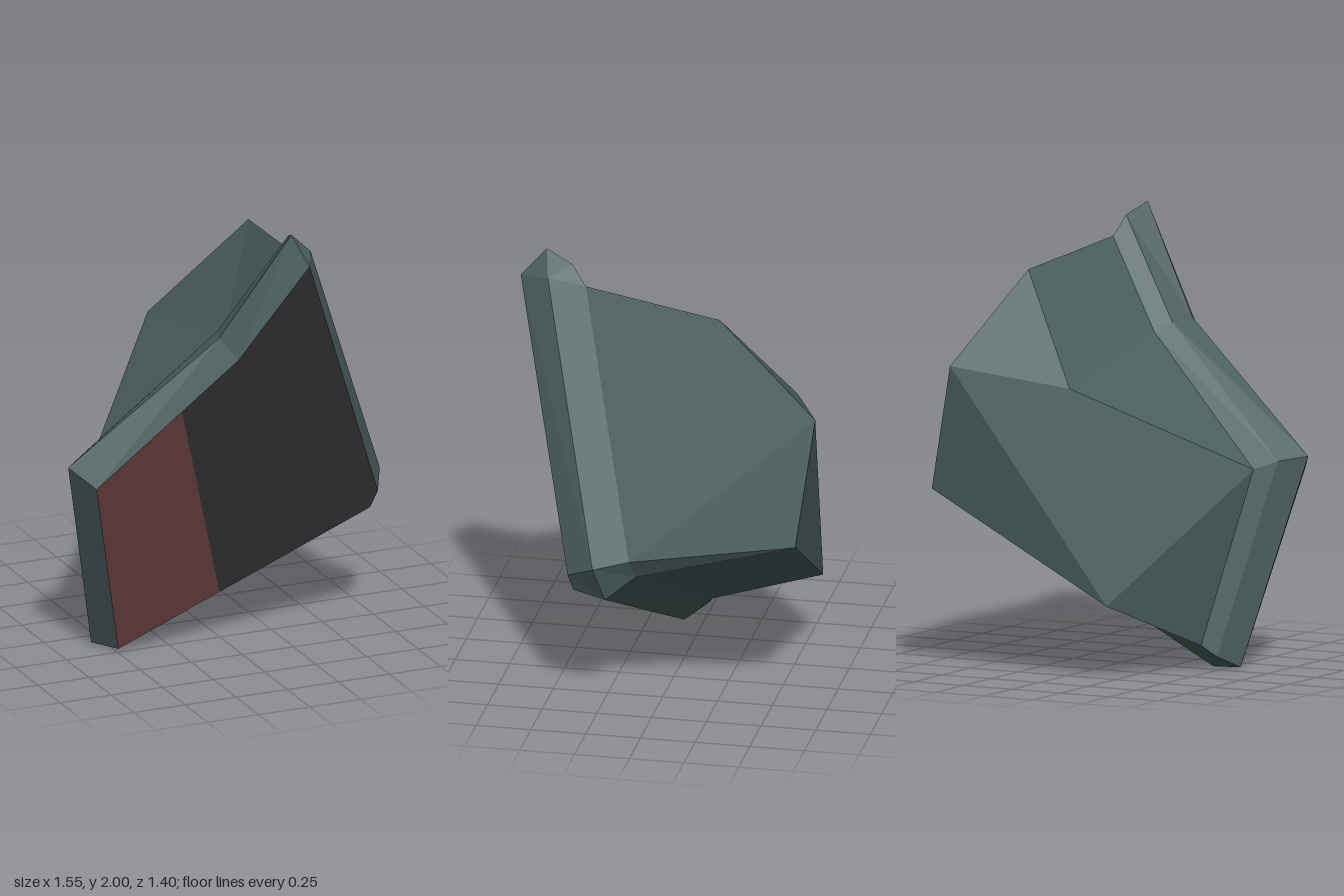
import * as THREE from 'three';

const bodyMat = new THREE.MeshStandardMaterial({ color: 0x4a5f5e });
bodyMat.name = 'slate green';
const darkMat = new THREE.MeshStandardMaterial({ color: 0x333233 });
darkMat.name = 'charcoal';
const redMat = new THREE.MeshStandardMaterial({ color: 0x653f3d });
redMat.name = 'dull red';

// The rim is a stack of outlines lying on parallel planes that lean forward
const TILT = 0.25;
const lean = (points, k) => points.map(([x, y]) => new THREE.Vector3(x, y, k + TILT * y));

// Non-indexed triangles give crisp flat facets
function facets(name, triangles, material) {
  const geometry = new THREE.BufferGeometry().setFromPoints(triangles.flat());
  geometry.computeVertexNormals();
  const mesh = new THREE.Mesh(geometry, material);
  mesh.name = name;
  return mesh;
}

// Band between two outlines, both counter-clockwise from the front;
// repeated points collapse a quad to a triangle
function band(front, back) {
  const out = [];
  const add = (a, b, c) => {
    if (!a.equals(b) && !b.equals(c) && !a.equals(c)) out.push([a, b, c]);
  };
  front.forEach((a, i) => {
    const j = (i + 1) % front.length;
    add(a, back[i], front[j]);
    add(front[j], back[i], back[j]);
  });
  return out;
}

// Flat panel on the leaning front plane
function panel(name, points, material) {
  const shape = new THREE.Shape(points.map(([x, y]) => new THREE.Vector2(x, y)));
  const geometry = new THREE.ShapeGeometry(shape).toNonIndexed();
  const p = geometry.attributes.position;
  for (let i = 0; i < p.count; i++) p.setZ(i, 0.232 + TILT * p.getY(i));
  geometry.computeVertexNormals();
  const mesh = new THREE.Mesh(geometry, material);
  mesh.name = name;
  return mesh;
}

export function createModel() {
  const group = new THREE.Group();
  group.name = 'facetedBlock';

  // Outlines from the front face to the root of the rim
  const top = [0.24, 1.88], shoulder = [-0.06, 1.44], left = [-0.69, 0.87];
  const foot = [-0.49, 0.01], lowRight = [0.68, 0.56], right = [0.71, 0.64];
  const face = lean([top, shoulder, left, foot, foot, lowRight, right, top], 0.232);
  const edge = lean([[0.2, 2], [-0.1, 1.51], [-0.775, 0.945], [-0.56, 0.005], [-0.42, 0],
    [0.7, 0.53], [0.775, 0.7], [0.305, 1.9]], 0.09);
  const step = [...lean([[0.24, 1.95], [-0.06, 1.5], [-0.685, 0.93], [-0.495, 0.06]], -0.022),
    ...edge.slice(4)];
  const [c1, c7, c6, c5, c4, c3] = lean([[0.27, 1.86], [0, 1.457], [-0.59, 0.893],
    [-0.43, 0.11], [0.645, 0.63], [0.7, 0.72]], -0.066);
  const root = [c1, c7, c6, c5, c5, c4, c3, c1];
  group.add(facets('rim', [...band(face, edge), ...band(edge, step), ...band(step, root)], bodyMat));

  // Rear hull: facets between the rim root and five back corners
  const V = (x, y, z) => new THREE.Vector3(x, y, z);
  const crown = V(0.35, 1.78, -0.23), backTop = V(0.49, 1.39, -0.695);
  const backRight = V(0.62, 0.82, -0.63), backLow = V(-0.25, 0.34, -0.58);
  const backLeft = V(-0.02, 1.3, -0.51);
  const hull = [
    [c1, crown, c7], [crown, backLeft, c7], [c7, backLeft, c6],
    [crown, backTop, backLeft], [backLeft, backTop, backLow], [backTop, backRight, backLow],
    [backLeft, backLow, c6], [c6, backLow, c5],
    [c1, c3, crown], [crown, c3, backTop], [backTop, c3, backRight],
    [c3, c4, backRight], [c4, backLow, backRight], [c4, c5, backLow],
  ];
  // Turn every facet outward from a point inside
  const inside = V(0.1, 1, -0.15);
  const outward = hull.map(([a, b, c]) => {
    const n = b.clone().sub(a).cross(c.clone().sub(a));
    return n.dot(a.clone().sub(inside)) > 0 ? [a, b, c] : [a, c, b];
  });
  group.add(facets('rearHull', outward, bodyMat));

  // Front face: wide dark panel and red strip
  const splitTop = [-0.31, 1.214], splitLow = [-0.02, 0.231];
  group.add(panel('darkPanel', [top, shoulder, splitTop, splitLow, lowRight, right], darkMat));
  group.add(panel('redPanel', [splitTop, left, foot, splitLow], redMat));
  return group;
}
